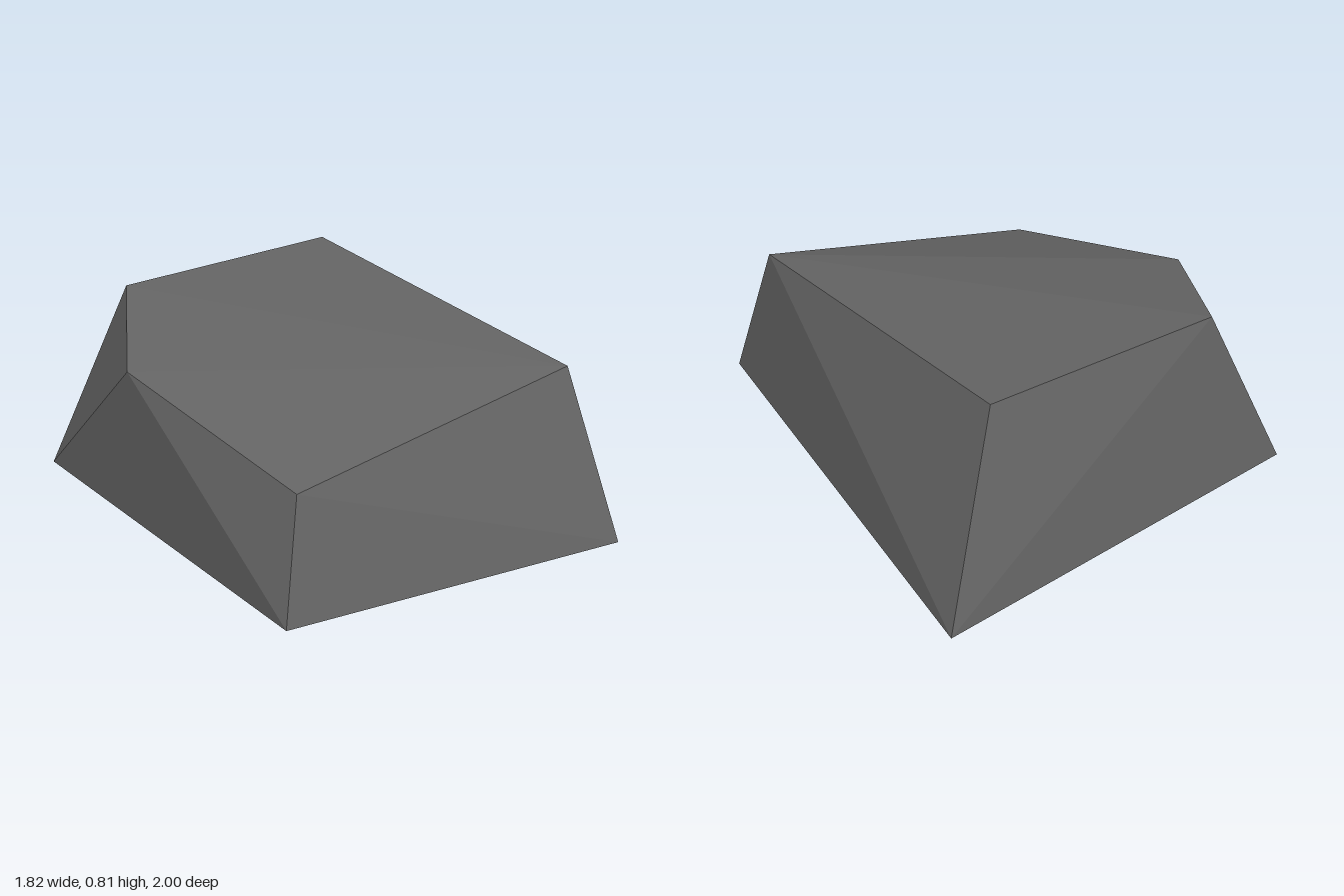
import * as THREE from 'three';
import { ConvexGeometry } from 'three/addons/geometries/ConvexGeometry.js';

export function createModel() {
  const group = new THREE.Group();
  group.name = 'boulder';

  const stone = new THREE.MeshStandardMaterial({ color: 0x636363 });
  stone.name = 'dark grey stone';

  // Four-cornered footprint on the ground
  const base = [
    [-0.91, 0, -0.717],
    [0.785, 0, -1],
    [0.91, 0, 1],
    [-0.56, 0, 0.88],
  ];
  // Slanted crown with five corners, lowest at the front
  const crown = [
    [-0.53, 0.805, -0.66],
    [0.485, 0.81, -0.75],
    [0.785, 0.715, 0.725],
    [-0.44, 0.485, 0.74],
    [-0.757, 0.69, -0.1],
  ];

  // Faceted rock wrapped around the corners, one flat normal per facet
  const points = [...base, ...crown].map((p) => new THREE.Vector3(...p));
  const rock = new THREE.Mesh(new ConvexGeometry(points), stone);
  rock.name = 'rock';
  group.add(rock);
  return group;
}
